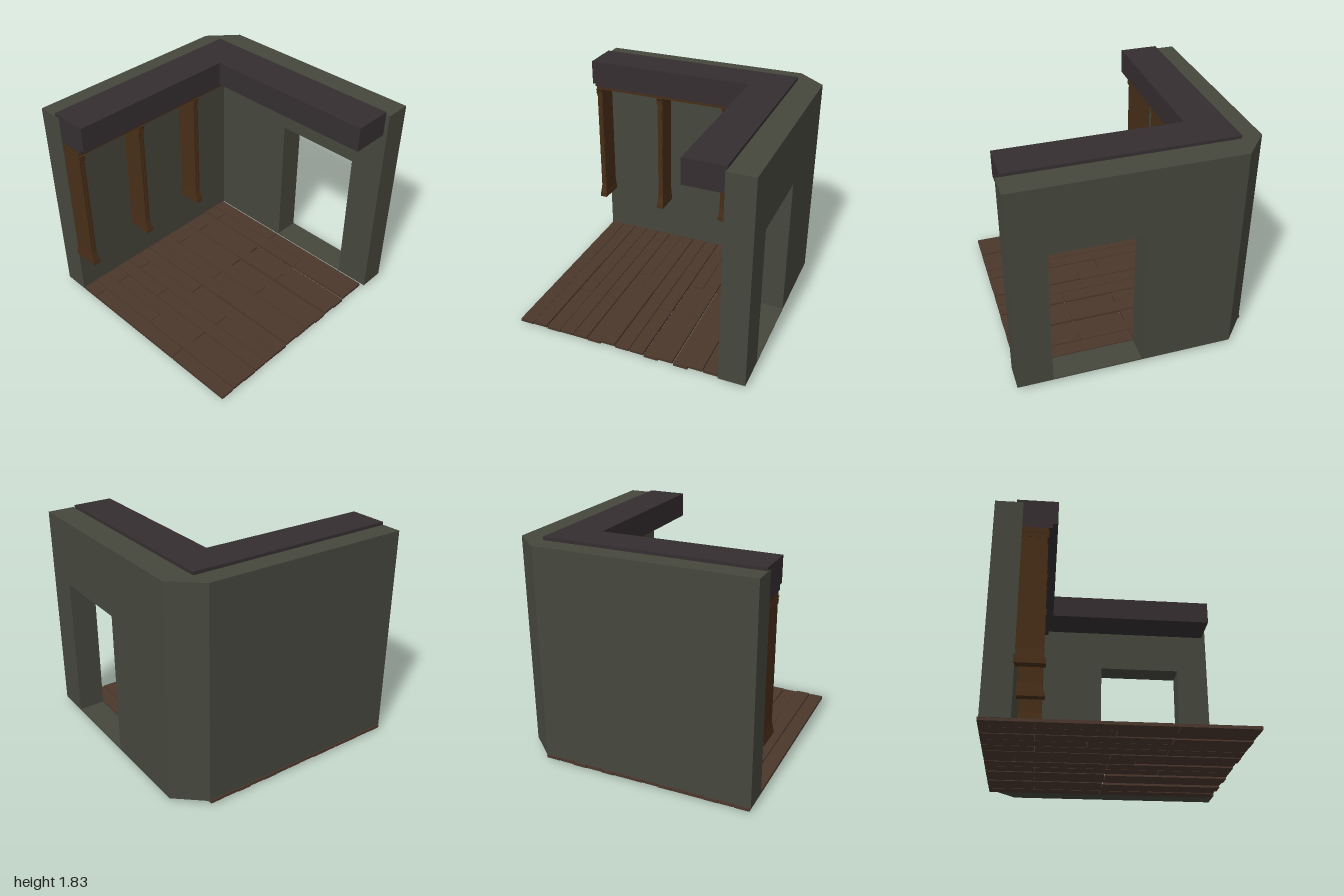
import * as THREE from 'three';

const paint = (color) => new THREE.MeshStandardMaterial({ color, flatShading: true });

export function createModel() {
  const model = new THREE.Group();
  const plaster = paint(0x45463c);
  const beamWood = paint(0x352e30);
  const trimWood = paint(0x472e18);
  const floorWood = paint(0x4b372c);
  const BACK = -0.76, SIDE = 0.78; // inner faces of the two walls

  function add(parent, name, geometry, material) {
    const mesh = new THREE.Mesh(geometry, material);
    mesh.name = name;
    parent.add(mesh);
    return mesh;
  }

  // box given by its extents
  function block(parent, name, material, x0, x1, y0, y1, z0, z1) {
    const g = new THREE.BoxGeometry(x1 - x0, y1 - y0, z1 - z0);
    g.translate((x0 + x1) / 2, (y0 + y1) / 2, (z0 + z1) / 2);
    return add(parent, name, g, material);
  }

  // floor plan of [x, z] points raised from y0 to y1
  function prism(parent, name, material, plan, y0, y1) {
    const shape = new THREE.Shape(plan.map(([x, z]) => new THREE.Vector2(x, -z)));
    const g = new THREE.ExtrudeGeometry(shape, { depth: y1 - y0, bevelEnabled: false });
    g.rotateX(-Math.PI / 2).translate(0, y0, 0);
    return add(parent, name, g, material);
  }

  // back wall with the cut outer corner
  prism(model, 'backWall', plaster,
    [[-0.995, BACK], [1, BACK], [1, -0.775], [0.77, -0.977], [-0.995, -0.977]], 0.035, 1.8);

  // side wall with the doorway
  const side = new THREE.Shape([[-1, 0.035], [-BACK, 0.035], [-BACK, 1.8], [-1, 1.8]]
    .map(([u, v]) => new THREE.Vector2(u, v)));
  side.holes.push(new THREE.Path([[-0.715, 0.045], [-0.715, 1.25], [0.015, 1.25], [0.015, 0.045]]
    .map(([u, v]) => new THREE.Vector2(u, v))));
  const sideGeometry = new THREE.ExtrudeGeometry(side, { depth: 1 - SIDE, bevelEnabled: false });
  sideGeometry.rotateY(Math.PI / 2).translate(SIDE, 0, 0);
  // the outline runs along -z so that the doorway lands at the front half
  const sideWall = add(model, 'sideWall', sideGeometry, plaster);
  sideWall.position.set(0, 0, 0);

  // L-shaped ceiling beam with mouldings below it on the back wall
  prism(model, 'ceilingBeam', beamWood,
    [[-0.99, -0.81], [0.782, -0.81], [0.782, 0.967], [0.455, 0.967], [0.455, -0.49], [-0.99, -0.49]],
    1.62, 1.825);
  block(model, 'beamMoulding', beamWood, -0.99, 0.78, 1.58, 1.62, BACK - 0.02, -0.53);
  block(model, 'trimRail', trimWood, -0.99, 0.72, 1.545, 1.58, BACK - 0.02, -0.56);

  // piece of a pilaster: tapers from the lower to the upper width and front, flat at the wall
  function taper(parent, name, y0, y1, w0, w1, f0, f1) {
    const g = new THREE.BoxGeometry(1, 1, 1);
    const p = g.attributes.position;
    for (let i = 0; i < p.count; i++) {
      const top = p.getY(i) > 0;
      p.setXYZ(i, p.getX(i) * (top ? w1 : w0), top ? y1 : y0,
        p.getZ(i) > 0 ? (top ? f1 : f0) : BACK - 0.01);
    }
    return add(parent, name, g, trimWood);
  }

  // three hanging wall pilasters
  for (const x of [-0.967, -0.373, 0.237]) {
    const pilaster = new THREE.Group();
    pilaster.name = 'pilaster';
    pilaster.position.x = x;
    taper(pilaster, 'pilasterFoot', 0.445, 0.485, 0.067, 0.063, -0.54, -0.543);
    taper(pilaster, 'pilasterFlare', 0.485, 0.56, 0.06, 0.047, -0.548, -0.565);
    taper(pilaster, 'pilasterShaft', 0.56, 1.49, 0.047, 0.047, -0.565, -0.565);
    taper(pilaster, 'pilasterNeck', 1.49, 1.52, 0.053, 0.053, -0.555, -0.555);
    taper(pilaster, 'pilasterCap', 1.52, 1.545, 0.047, 0.055, -0.56, -0.545);
    block(pilaster, 'pilasterPanel', trimWood, -0.004, 0.019, 0.57, 1.44, -0.57, -0.559);
    model.add(pilaster);
  }

  // floor planks: bottom height and end joints of each row
  const floor = new THREE.Group();
  floor.name = 'floor';
  const rows = [
    [0.016, [-0.6, 0.39]], [0.021, [-0.03]], [0.012, [-0.6, 0.39]], [0.016, [-0.22]],
    [0.016, [-0.6, 0.39]], [0.011, [-0.03]], [0.026, [-0.75, 0.18]], [0.016, [-0.03]],
    [0.016, [-0.6, 0.39]], [0.002, [-0.03]], [0.016, [-0.6, 0.39]], [0, [-0.03]],
    [0.02, [-0.6, 0.39]], [0.016, [-0.03]],
  ];
  const pitch = 1.76 / rows.length, gap = 0.003;
  rows.forEach(([y, joints], i) => {
    const ends = [-0.99, ...joints, 0.967];
    const x = -0.99 + i * pitch;
    for (let j = 0; j + 1 < ends.length; j++) {
      // only the front plank of a row is lifted or sunk fully
      const base = j + 2 === ends.length ? y : 0.016 + (y - 0.016) * 0.3;
      block(floor, 'plank', floorWood, x + gap, x + pitch - gap, base, base + 0.024,
        ends[j] + gap, ends[j + 1] - gap);
    }
  });
  model.add(floor);

  return model;
}
